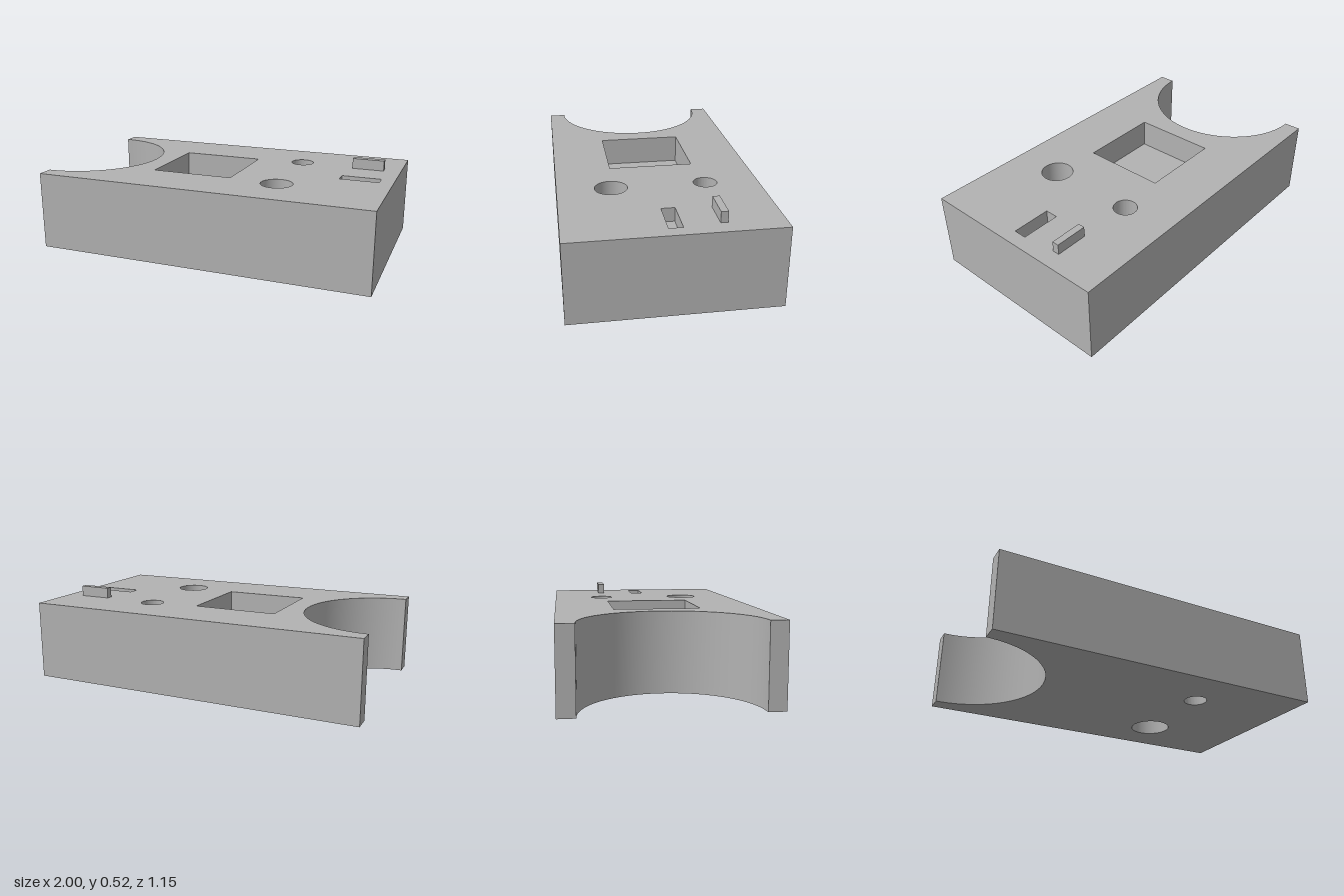
import * as THREE from 'three';
import { mergeGeometries, toCreasedNormals } from 'three/addons/utils/BufferGeometryUtils.js';

const W = 1, D = 0.575, H = 0.463; // half width, half depth, height
const NOTCH = 0.477;

// Outlines are counter-clockwise, in plan (x, -z)
const rect = (x0, x1, y0, y1) =>
  [[x0, y0], [x1, y0], [x1, y1], [x0, y1]].map(([x, y]) => new THREE.Vector2(x, y));

function circle(x, y, r, n = 64) {
  return Array.from({ length: n }, (_, i) => {
    const a = (i / n) * Math.PI * 2;
    return new THREE.Vector2(x + r * Math.cos(a), y + r * Math.sin(a));
  });
}

// Flat horizontal face with holes, facing up or down
function face(outline, holes, y, up = true) {
  const shape = new THREE.Shape(outline);
  shape.holes = holes.map((h) => new THREE.Path(h));
  const g = new THREE.ShapeGeometry(shape).rotateX(-Math.PI / 2).translate(0, y, 0);
  if (!up) g.index.array.reverse();
  const flat = g.toNonIndexed();
  flat.computeVertexNormals();
  return flat;
}

// Vertical wall round an outline; inward walls face the inside of a recess
function wall(outline, y0, y1, inward = false) {
  const pts = inward ? [...outline].reverse() : outline;
  const pos = [], uv = [];
  pts.forEach((a, i) => {
    const b = pts[(i + 1) % pts.length];
    const quad = [[a, y0], [b, y0], [b, y1], [a, y0], [b, y1], [a, y1]];
    quad.forEach(([p, y]) => {
      pos.push(p.x, y, -p.y);
      uv.push(p.x, y);
    });
  });
  const g = new THREE.BufferGeometry();
  g.setAttribute('position', new THREE.Float32BufferAttribute(pos, 3));
  g.setAttribute('uv', new THREE.Float32BufferAttribute(uv, 2));
  g.computeVertexNormals();
  return toCreasedNormals(g, 0.5);
}

export function createModel() {
  const grey = new THREE.MeshStandardMaterial({ color: 0xb2b2b2 });
  grey.name = 'plain grey';
  const model = new THREE.Group();
  model.name = 'notchedBlock';
  const add = (name, ...parts) => {
    const mesh = new THREE.Mesh(mergeGeometries(parts), grey);
    mesh.name = name;
    model.add(mesh);
  };

  // Block outline with a half-round notch in one end
  const outline = rect(-W, W, -D, D);
  for (let i = 0; i <= 48; i++) {
    const a = Math.PI / 2 - (i / 48) * Math.PI;
    outline.push(new THREE.Vector2(-W + NOTCH * Math.cos(a), NOTCH * Math.sin(a)));
  }

  // Recesses and stepped screw holes
  const pocket = rect(-0.403, 0.093, -0.248, 0.248);
  const slot = rect(0.69, 0.92, -0.038, 0.038);
  const frontBore = circle(0.383, -0.27, 0.068), frontSink = circle(0.383, -0.27, 0.093);
  const backBore = circle(0.383, 0.27, 0.068), backSink = circle(0.383, 0.27, 0.121);
  const pocketY = H - 0.17, slotY = H - 0.08, frontY = H - 0.2, backY = 0.23;

  add('blockTop', face(outline, [pocket, slot, frontSink, backBore], H));
  add('blockBottom', face(outline, [frontBore, backSink], 0, false));
  add('blockSides', wall(outline, 0, H));
  add('squarePocket', wall(pocket, pocketY, H, true), face(pocket, [], pocketY));
  add('slot', wall(slot, slotY, H, true), face(slot, [], slotY));
  add('frontScrewHole', wall(frontSink, frontY, H, true),
    face(frontSink, [frontBore], frontY), wall(frontBore, 0, frontY, true));
  add('backScrewHole', wall(backSink, 0, backY, true),
    face(backSink, [backBore], backY, false), wall(backBore, backY, H, true));

  // Raised locating tab
  const tab = rect(0.71, 0.9, 0.232, 0.272);
  add('tab', wall(tab, H, H + 0.062), face(tab, [], H + 0.062));

  return model;
}
